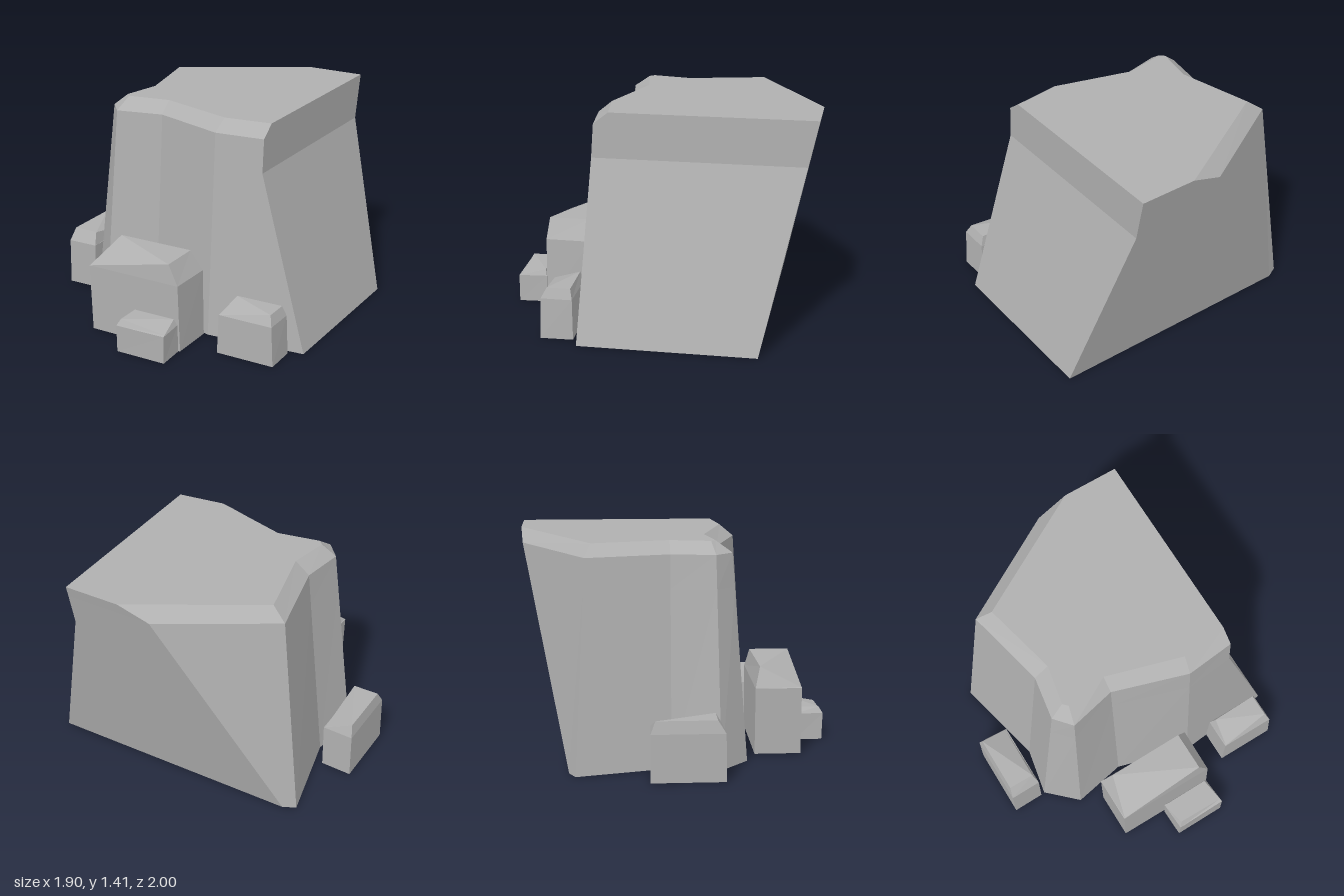
import * as THREE from 'three';

const stone = new THREE.MeshStandardMaterial({ color: 0xb0b0b0 });
stone.name = 'stoneGrey';

// Faceted solid through rings of [x, y, z] corners, bottom to top, counterclockwise from above.
// topFaces optionally fixes how the top is split into triangles.
function facetedSolid(name, rings, topFaces) {
  const pos = [];
  const tri = (a, b, c) => pos.push(...a, ...b, ...c);
  const n = rings[0].length;
  for (let r = 0; r < rings.length - 1; r++) {
    for (let i = 0; i < n; i++) {
      const j = (i + 1) % n;
      const lo = rings[r], hi = rings[r + 1];
      tri(lo[i], lo[j], hi[j]);
      tri(lo[i], hi[j], hi[i]);
    }
  }
  const capFaces = ring => THREE.ShapeUtils.triangulateShape(
    ring.map(p => new THREE.Vector2(p[0], -p[2])), []);
  const base = rings[0], top = rings[rings.length - 1];
  capFaces(base).forEach(([a, b, c]) => tri(base[a], base[c], base[b]));
  (topFaces || capFaces(top)).forEach(([a, b, c]) => tri(top[a], top[b], top[c]));

  const geo = new THREE.BufferGeometry();
  geo.setAttribute('position', new THREE.Float32BufferAttribute(pos, 3));
  geo.computeVertexNormals();
  const mesh = new THREE.Mesh(geo, stone);
  mesh.name = name;
  return mesh;
}

const atHeight = (y, ring) => ring.map(([x, z]) => [x, y, z]);

// Cliff block: sloped walls, bevelled rim, overhanging back, kinked right side
function cliff() {
  const foot = atHeight(0, [
    [-0.80, -0.65], [-0.66, -0.05], [-0.72, 0.26], [-0.53, 0.44], [-0.18, 0.37],
    [0.30, 0.51], [0.95, 0.44], [0.95, -0.69], [-0.72, -0.69]]);
  const rim = atHeight(1.335, [
    [-0.65, -0.58], [-0.53, -0.05], [-0.575, 0.23], [-0.48, 0.34], [-0.18, 0.27],
    [0.30, 0.42], [0.62, 0.385], [0.62, -0.983], [0.04, -0.983]]);
  const top = atHeight(1.41, [
    [-0.55, -0.54], [-0.435, -0.05], [-0.485, 0.205], [-0.455, 0.235], [-0.18, 0.185],
    [0.315, 0.33], [0.62, 0.29], [0.62, -1], [0.25, -1]]);
  // Kink where the right wall turns vertical
  const t = 1.12 / 1.335;
  const kink = foot.map((p, i) => p.map((v, k) => v + (rim[i][k] - v) * t));
  kink[6] = [0.62, 1.12, 0.40];
  kink[7] = [0.62, 1.12, -0.936];
  return facetedSolid('cliff', [foot, kink, rim, top]);
}

// Boulder: corners run back left, front left, front right, back right; one top corner sags
function boulder(name, shoulderY, topY, foot, shoulder, top, sagging) {
  const crown = atHeight(topY, top);
  crown[sagging][1] = shoulderY + 0.005;
  const k = i => (sagging + i) % 4;
  return facetedSolid(name,
    [atHeight(0, foot), atHeight(shoulderY, shoulder), crown],
    [[k(1), k(2), k(3)], [k(1), k(3), k(0)]]);
}

export function createModel() {
  const group = new THREE.Group();
  group.name = 'rockFormation';
  group.add(
    cliff(),
    boulder('largeBoulder', 0.44, 0.57,
      [[-0.385, 0.505], [-0.385, 0.805], [0.27, 0.80], [0.27, 0.51]],
      [[-0.40, 0.505], [-0.40, 0.805], [0.255, 0.80], [0.26, 0.505]],
      [[-0.33, 0.54], [-0.395, 0.80], [0.185, 0.79], [0.185, 0.53]], 1),
    boulder('smallBoulder', 0.18, 0.22,
      [[-0.075, 0.81], [-0.07, 0.995], [0.27, 0.99], [0.26, 0.805]],
      [[-0.08, 0.81], [-0.07, 1.0], [0.27, 0.99], [0.255, 0.805]],
      [[-0.05, 0.82], [-0.05, 0.975], [0.265, 0.97], [0.235, 0.815]], 2),
    boulder('rightBoulder', 0.26, 0.325,
      [[0.475, 0.49], [0.475, 0.695], [0.865, 0.69], [0.86, 0.48]],
      [[0.485, 0.49], [0.485, 0.69], [0.85, 0.685], [0.85, 0.485]],
      [[0.515, 0.51], [0.49, 0.685], [0.825, 0.65], [0.825, 0.50]], 1),
    boulder('leftBoulder', 0.305, 0.385,
      [[-0.95, -0.195], [-0.95, 0.27], [-0.745, 0.265], [-0.745, -0.185]],
      [[-0.95, -0.195], [-0.95, 0.265], [-0.745, 0.26], [-0.745, -0.185]],
      [[-0.935, -0.165], [-0.935, 0.215], [-0.765, 0.215], [-0.755, -0.18]], 3),
  );
  return group;
}
